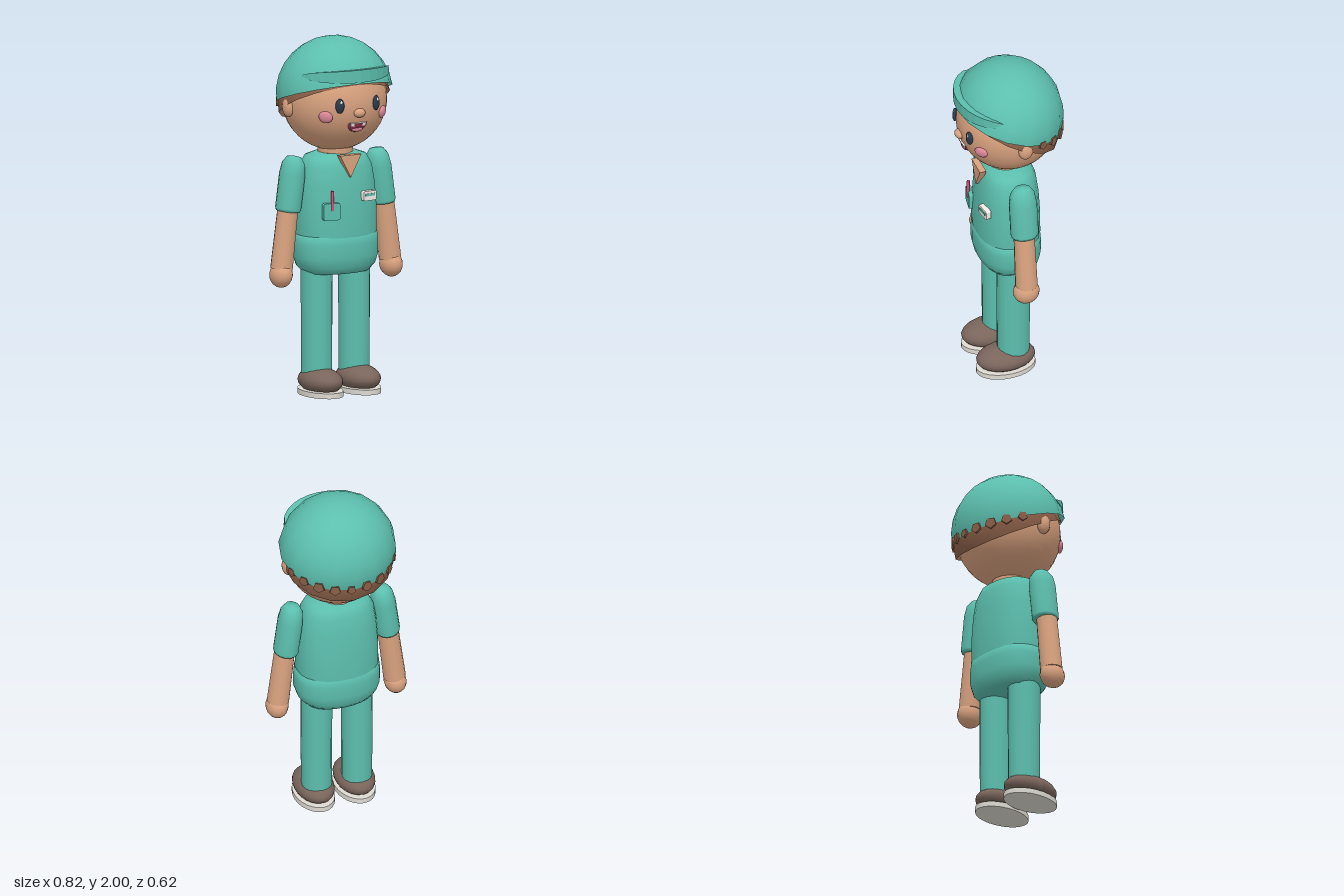
import * as THREE from 'three';
import { mergeVertices } from 'three/addons/utils/BufferGeometryUtils.js';

const mat = (color, side = THREE.FrontSide) => new THREE.MeshStandardMaterial({ color, side });
const TEAL = mat(0x5cbfae), TEAL2 = mat(0x5cbfae, THREE.DoubleSide), SKIN = mat(0xd9a27f);
const HAIR = mat(0x8a5f48, THREE.DoubleSide), SHOE = mat(0x7a655c), SOLE = mat(0xdedad2);
const PINK = mat(0xe08a9c), DARK = mat(0x2b3b4a), WHITE = mat(0xf2efea);
const MOUTH = mat(0x8a3348, THREE.DoubleSide), PEN = mat(0xd4507a);

// Cap ellipsoid and head, shared by the parts that sit on them
const CAP = { y: 1.68, rx: 0.33, ry: 0.32, rz: 0.31 };
const HEAD = { y: 1.65, rx: 0.295, ry: 0.29, rz: 0.287 };

export function createModel() {
  const root = new THREE.Group();

  function add(name, geo, material, x = 0, y = 0, z = 0) {
    const mesh = new THREE.Mesh(geo, material);
    mesh.name = name;
    mesh.position.set(x, y, z);
    root.add(mesh);
    return mesh;
  }
  const ball = (rx, ry, rz, w = 16, h = 12) => new THREE.SphereGeometry(1, w, h).scale(rx, ry, rz);
  const lathe = (pts, seg) => new THREE.LatheGeometry(pts.map(p => new THREE.Vector2(...p)), seg);

  // Depth of the face at a given x, y
  const faceZ = (x, y) => HEAD.rz * Math.sqrt(1 - (x / HEAD.rx) ** 2 - ((y - HEAD.y) / HEAD.ry) ** 2);

  // Turn a round lathe into a flattened, boxier body
  function boxy(geo, depth, power) {
    const p = geo.attributes.position;
    for (let i = 0; i < p.count; i++) {
      const x = p.getX(i), z = p.getZ(i), r = Math.hypot(x, z);
      if (r < 1e-6) continue; // points on the axis stay put
      const k = Math.pow(Math.abs(x / r) ** power + Math.abs(z / r) ** power, -1 / power);
      p.setXYZ(i, x * k, p.getY(i), z * k * depth);
    }
    geo.deleteAttribute('uv');
    geo.deleteAttribute('normal');
    const merged = mergeVertices(geo, 1e-4);
    merged.computeVertexNormals();
    return merged;
  }

  // Tilted half dome, raised at the front
  const dome = (tilt, rx, ry, rz) =>
    new THREE.SphereGeometry(1, 16, 7, 0, Math.PI * 2, 0, Math.PI / 2).rotateX(-tilt).scale(rx, ry, rz);

  // Head, neck and face
  add('head', ball(HEAD.rx, HEAD.ry, HEAD.rz, 28, 20), SKIN, 0, HEAD.y, 0);
  add('neck', new THREE.CylinderGeometry(0.1, 0.1, 0.14, 16), SKIN, 0, 1.34, 0.01);
  add('nose', ball(0.035, 0.026, 0.028), SKIN, 0, 1.61, 0.283);
  for (const s of [-1, 1]) {
    add('ear', ball(0.032, 0.056, 0.042), SKIN, s * 0.293, 1.625, 0);
    add('eye', ball(0.025, 0.042, 0.015), DARK, s * 0.115, 1.655, faceZ(0.115, 1.655) + 0.003).rotation.y = s * 0.4;
    add('eyeHighlight', ball(0.008, 0.011, 0.005, 8, 6), WHITE, s * 0.115 + 0.003, 1.675, faceZ(0.115, 1.675) + 0.015);
    add('cheek', ball(0.04, 0.034, 0.016), PINK, s * 0.18, 1.592, faceZ(0.18, 1.592) + 0.002).rotation.set(0.2, s * 0.72, 0);
  }

  // Mouth: lower half of a flattened ball, with a flat top, teeth and tongue
  const smile = new THREE.SphereGeometry(1, 20, 8, 0, Math.PI * 2, Math.PI / 2, Math.PI / 2).scale(0.07, 0.062, 0.03);
  add('mouth', smile, MOUTH, 0, 1.557, 0.25).rotation.x = 0.25;
  add('upperLip', new THREE.CircleGeometry(1, 20).rotateX(-Math.PI / 2).scale(0.07, 1, 0.03), MOUTH, 0, 1.557, 0.25).rotation.x = 0.25;
  add('teeth', new THREE.BoxGeometry(0.095, 0.018, 0.02), WHITE, 0, 1.546, 0.265).rotation.x = 0.25;
  add('tongue', ball(0.035, 0.016, 0.012), PINK, 0, 1.515, 0.257).rotation.x = 0.4;

  // Hair below the cap, and the tufts over the cap's rim at the back
  add('hair', dome(0.45, 0.32, 0.31, 0.3), HAIR, 0, 1.63, 0);
  for (let i = -4; i <= 4; i++) {
    const a = i * 0.29 + 0.08, size = 0.026 + 0.008 * Math.abs(Math.sin(i * 2.3));
    const nx = Math.sin(a), nz = -Math.cos(a), y = 1.675 - 0.085 * Math.cos(a);
    const tuft = add('hairTuft', new THREE.CylinderGeometry(size, size, 0.012, 5).rotateX(Math.PI / 2), HAIR,
      nx * CAP.rx * 0.975, y, nz * CAP.rz * 0.972);
    tuft.lookAt(nx * 2, y, nz * 2);
  }

  // Cap with its folded front brim
  add('cap', dome(0.3, CAP.rx, CAP.ry, CAP.rz), TEAL2, 0, CAP.y, 0);
  const verts = [], index = [], N = 12;
  for (let i = 0; i <= N; i++) {
    const u = i / N * 2 - 1, a = u * 1.13;
    const t = Math.sqrt(Math.max(0, Math.cos(u * Math.PI / 2)));
    const yTop = 1.822 + 0.032 * t, yLow = 1.812 - 0.03 * t;
    for (const [y, flare] of [[yLow, 0.006 * t], [yTop, 0.04 * t], [yTop - 0.004, -0.005]]) {
      const k = Math.sqrt(1 - ((y - CAP.y) / CAP.ry) ** 2);
      verts.push(Math.sin(a) * (CAP.rx * k + flare), y, Math.cos(a) * (CAP.rz * k + flare));
    }
    if (i < N) for (let j = 0; j < 3; j++) {
      const b = i * 3, n = (j + 1) % 3;
      index.push(b + j, b + 3 + j, b + 3 + n, b + j, b + 3 + n, b + n);
    }
  }
  let brim = new THREE.BufferGeometry();
  brim.setAttribute('position', new THREE.Float32BufferAttribute(verts, 3));
  brim.setIndex(index);
  brim = brim.toNonIndexed();
  brim.computeVertexNormals();
  add('capBrim', brim, TEAL2);

  // Shirt: chest and the slightly wider hem below it
  const chest = lathe([[0.225, 0.87], [0.234, 0.9], [0.232, 1.05], [0.222, 1.18], [0.205, 1.28],
    [0.175, 1.335], [0.12, 1.355], [0, 1.357]], 24);
  add('shirt', boxy(chest, 0.75, 2.4), TEAL, 0, 0, 0.01);
  const hem = lathe([[0, 0.68], [0.19, 0.683], [0.225, 0.72], [0.243, 0.775], [0.243, 0.85], [0.237, 0.9], [0.2, 0.905]], 24);
  add('shirtHem', boxy(hem, 0.73, 2.4), TEAL, 0, 0, 0.01);

  // Bare triangle of the V neckline
  const vee = new THREE.Shape([[-0.067, 1.357], [0, 1.23], [0.067, 1.357]].map(p => new THREE.Vector2(...p)));
  add('neckline', new THREE.ExtrudeGeometry(vee, { depth: 0.037, bevelEnabled: false }), SKIN, 0, 0, 0.15);

  // Chest pocket, pen and badge
  const rounded = (w, h, r) => {
    const s = new THREE.Shape(), x = w / 2, y = h / 2;
    s.moveTo(-x + r, -y).lineTo(x - r, -y).quadraticCurveTo(x, -y, x, -y + r).lineTo(x, y - r);
    s.quadraticCurveTo(x, y, x - r, y).lineTo(-x + r, y).quadraticCurveTo(-x, y, -x, y - r);
    s.lineTo(-x, -y + r).quadraticCurveTo(-x, -y, -x + r, -y);
    return new THREE.ExtrudeGeometry(s, { depth: 0.03, bevelEnabled: false, curveSegments: 4 });
  };
  add('pocket', rounded(0.098, 0.096, 0.014), TEAL, -0.117, 1.047, 0.162).rotation.y = -0.15;
  add('pen', new THREE.CylinderGeometry(0.009, 0.009, 0.11, 8), PEN, -0.117, 1.11, 0.188);
  add('badge', rounded(0.088, 0.054, 0.01), WHITE, 0.115, 1.118, 0.162).rotation.y = 0.15;
  add('badgeStripe', new THREE.BoxGeometry(0.064, 0.014, 0.006), TEAL, 0.12, 1.124, 0.192).rotation.y = 0.15;

  // Arms, legs and shoes on both sides
  const sleeve = lathe([[0, 0], [0.073, 0], [0.08, 0.015], [0.08, 0.21], [0.07, 0.27], [0.045, 0.305], [0, 0.312]], 14)
    .scale(0.88, 1, 1);
  const shoe = ball(0.11, 0.073, 0.17, 20, 14);
  const sp = shoe.attributes.position;
  for (let i = 0; i < sp.count; i++) sp.setY(i, Math.max(sp.getY(i), -0.05));
  shoe.computeVertexNormals();

  for (const s of [-1, 1]) {
    add('sleeve', sleeve, TEAL, s * 0.302, 1.04, 0.01).rotation.z = s * 0.135;
    add('forearm', new THREE.CylinderGeometry(0.058, 0.063, 0.36, 14), SKIN, s * 0.323, 0.9, 0.015).rotation.z = s * 0.12;
    add('hand', ball(0.063, 0.073, 0.076, 14, 10), SKIN, s * 0.349, 0.688, 0.018).rotation.z = s * 0.1;
    add('trouserLeg', new THREE.CylinderGeometry(0.088, 0.085, 0.65, 16).scale(1, 1, 1.08), TEAL, s * 0.119, 0.435, 0.01);
    add('shoe', shoe, SHOE, s * 0.12, 0.078, 0.055);
    add('shoeSole', new THREE.CylinderGeometry(1, 1, 0.03, 24).scale(0.111, 1, 0.171), SOLE, s * 0.12, 0.015, 0.055);
  }
  return root;
}
